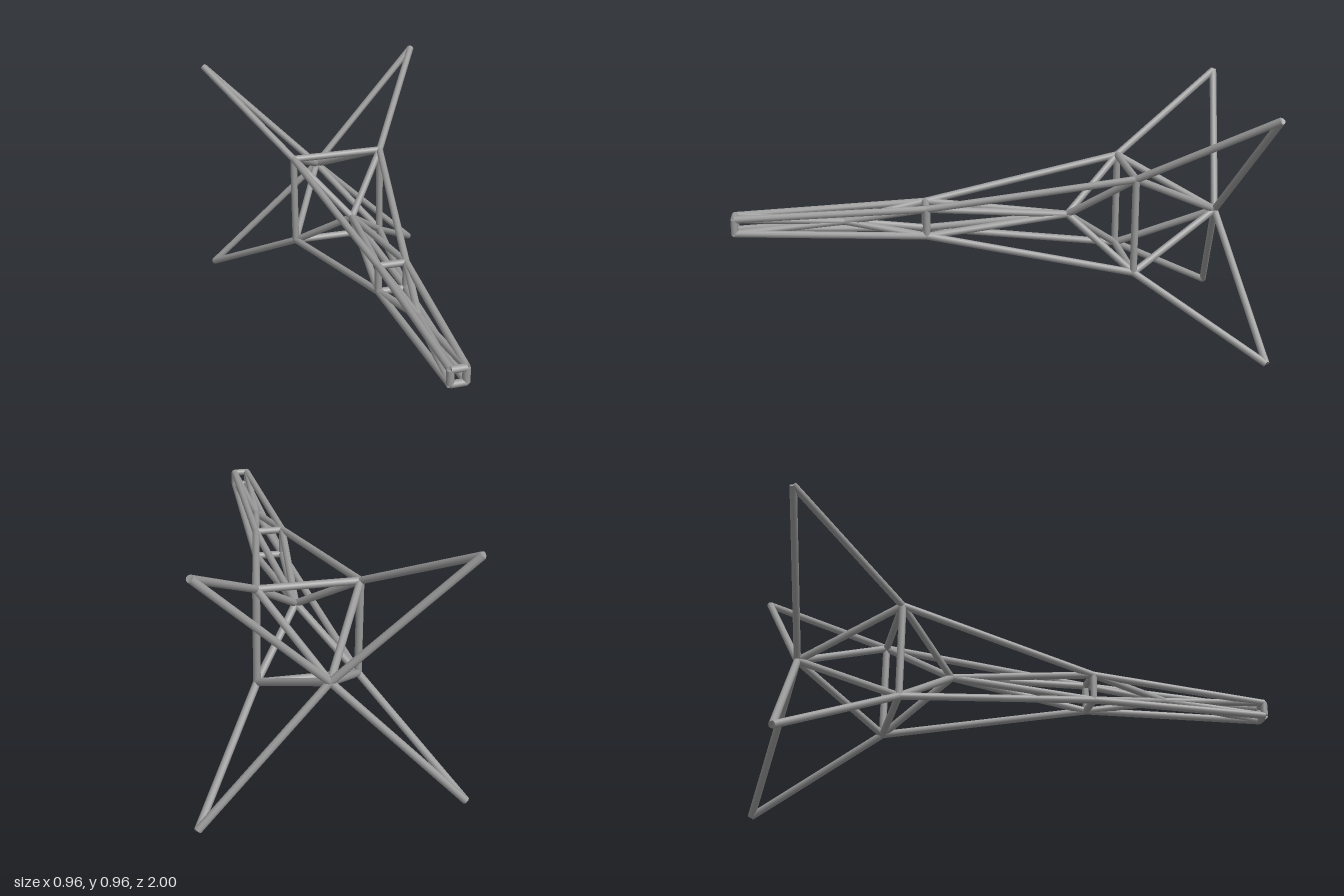
import * as THREE from 'three';

const RADIUS = 0.014;
const CENTRE_Y = 0.478;

export function createModel() {
  const model = new THREE.Group();
  model.name = 'strutFrame';
  const steel = new THREE.MeshStandardMaterial({ color: 0x999999 });
  steel.name = 'steel grey';
  const up = new THREE.Vector3(0, 1, 0);

  // One round bar between two nodes
  function strut(name, a, b) {
    const dir = b.clone().sub(a);
    const mesh = new THREE.Mesh(new THREE.CylinderGeometry(RADIUS, RADIUS, dir.length(), 10), steel);
    mesh.name = name;
    mesh.position.copy(a).add(b).multiplyScalar(0.5);
    mesh.quaternion.setFromUnitVectors(up, dir.normalize());
    model.add(mesh);
  }

  // Nodes: four corners of a square across the axis, or a single point on it
  const square = (half, z) => [[1, 1], [-1, 1], [-1, -1], [1, -1]]
    .map(([x, y]) => new THREE.Vector3(x * half, CENTRE_Y + y * half, z));
  const axisPoint = (z) => new THREE.Vector3(0, CENTRE_Y, z);

  const nose = square(0.028, 0.986);
  const waist = square(0.054, 0.255);
  const hull = square(0.186, -0.53);
  const finTips = square(0.466, -0.986);
  const frontApex = axisPoint(0.57);
  const midApex = axisPoint(-0.3);
  const rearApex = axisPoint(-0.89);

  // Square rings
  for (const [name, ring] of [['noseRing', nose], ['waistRing', waist], ['hullRing', hull]]) {
    ring.forEach((p, i) => strut(name, p, ring[(i + 1) % 4]));
  }

  // Long rails, braces to the axis and fins, repeated on each corner
  for (let i = 0; i < 4; i++) {
    strut('noseRail', nose[i], waist[i]);
    strut('hullRail', waist[i], hull[i]);
    strut('finLeadingEdge', hull[i], finTips[i]);
    strut('finTrailingEdge', finTips[i], rearApex);
    strut('rearBrace', hull[i], rearApex);
    strut('hullBrace', hull[i], midApex);
    strut('waistRearBrace', waist[i], midApex);
    strut('waistFrontBrace', waist[i], frontApex);
    strut('noseBrace', nose[i], frontApex);
  }
  return model;
}
